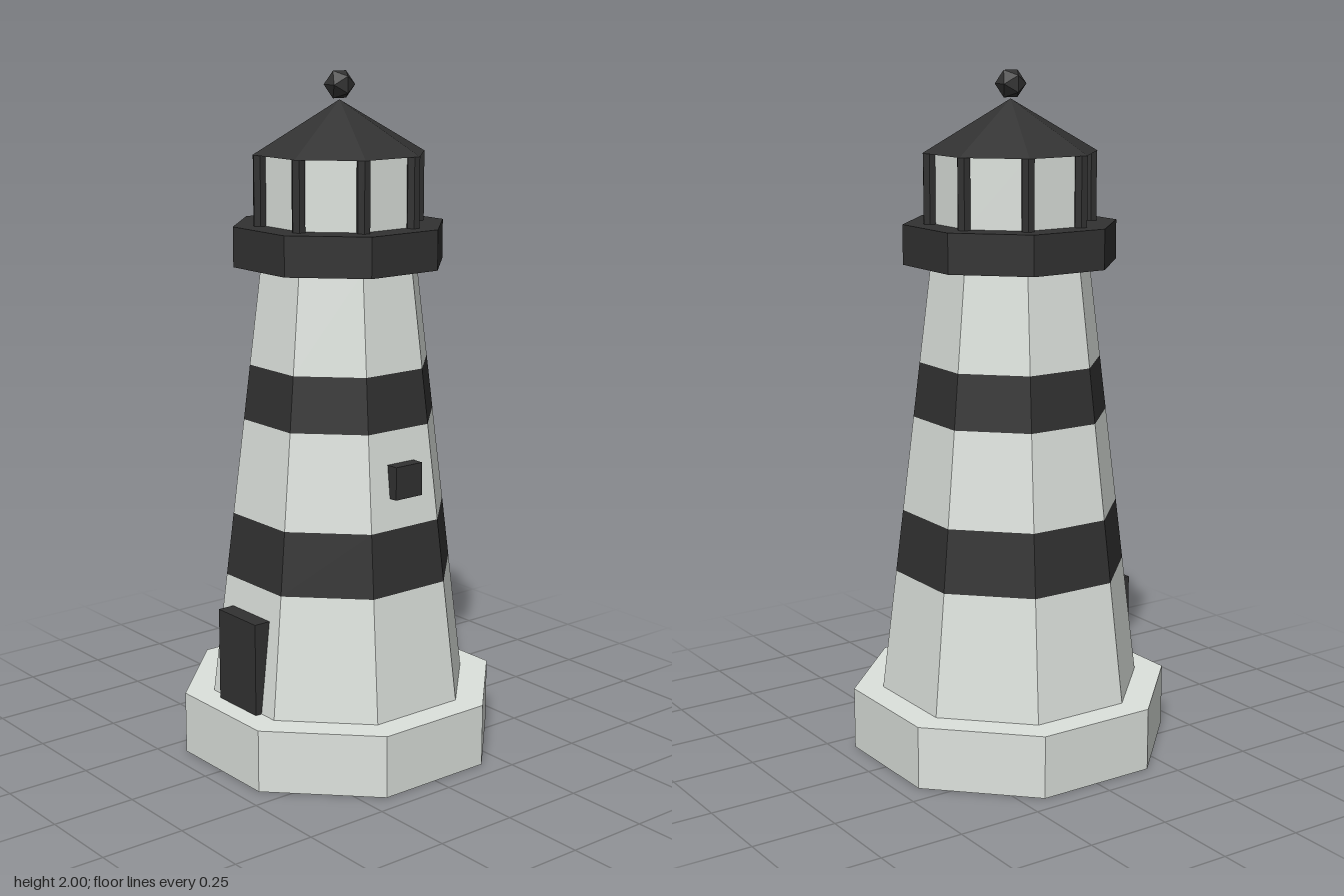
import * as THREE from 'three';

const SIDES = 8;
const HALF = Math.PI / SIDES;

export function createModel() {
  const white = new THREE.MeshStandardMaterial({ color: 0xdde2dd, flatShading: true });
  white.name = 'white paint';
  const black = new THREE.MeshStandardMaterial({ color: 0x323232, flatShading: true });
  black.name = 'black paint';

  const group = new THREE.Group();
  group.name = 'lighthouse';

  function add(name, geometry, material, x, y, z) {
    const mesh = new THREE.Mesh(geometry, material);
    mesh.name = name;
    mesh.position.set(x, y, z);
    group.add(mesh);
    return mesh;
  }

  // Octagonal section with a flat facing front; widths are centre-to-flat
  function octagon(name, material, y0, y1, flat0, flat1 = flat0, open = false) {
    const k = 1 / Math.cos(HALF);
    const geometry = new THREE.CylinderGeometry(flat1 * k, flat0 * k, y1 - y0, SIDES, 1, open, HALF);
    return add(name, geometry, material, 0, (y0 + y1) / 2, 0);
  }

  octagon('base', white, 0, 0.185, 0.441);

  // Tapered tower, split into alternating painted bands
  const levels = [0.185, 0.545, 0.73, 1.01, 1.17, 1.46];
  const towerFlat = (y) => 0.36 - (y - 0.185) * 0.1134;
  for (let i = 0; i < levels.length - 1; i++) {
    const [y0, y1] = [levels[i], levels[i + 1]];
    const dark = i % 2 === 1;
    octagon(dark ? 'towerStripe' : 'towerWall', dark ? black : white,
      y0, y1, towerFlat(y0), towerFlat(y1), true);
  }

  // Gallery, lantern room and roof
  octagon('gallery', black, 1.455, 1.57, 0.29);
  octagon('lanternGlass', white, 1.57, 1.77, 0.208, 0.208, true);
  const postGeometry = new THREE.CylinderGeometry(0.02, 0.02, 0.2, 6);
  for (let i = 0; i < SIDES; i++) {
    const a = HALF + i * 2 * HALF;
    add('lanternPost', postGeometry, black, Math.sin(a) * 0.235, 1.67, Math.cos(a) * 0.235);
  }
  const roof = new THREE.ConeGeometry(0.236 / Math.cos(HALF), 0.15, SIDES, 1, false, HALF);
  add('roof', roof, black, 0, 1.845, 0);
  add('finial', new THREE.IcosahedronGeometry(0.045, 0), black, 0, 1.962, 0).rotation.y = Math.PI / 2;

  // Door at the front, small window on the left
  add('door', new THREE.BoxGeometry(0.178, 0.275, 0.06), black, 0, 0.3225, 0.35);
  add('window', new THREE.BoxGeometry(0.04, 0.096, 0.096), black, 0.295, 0.868, 0);

  return group;
}
